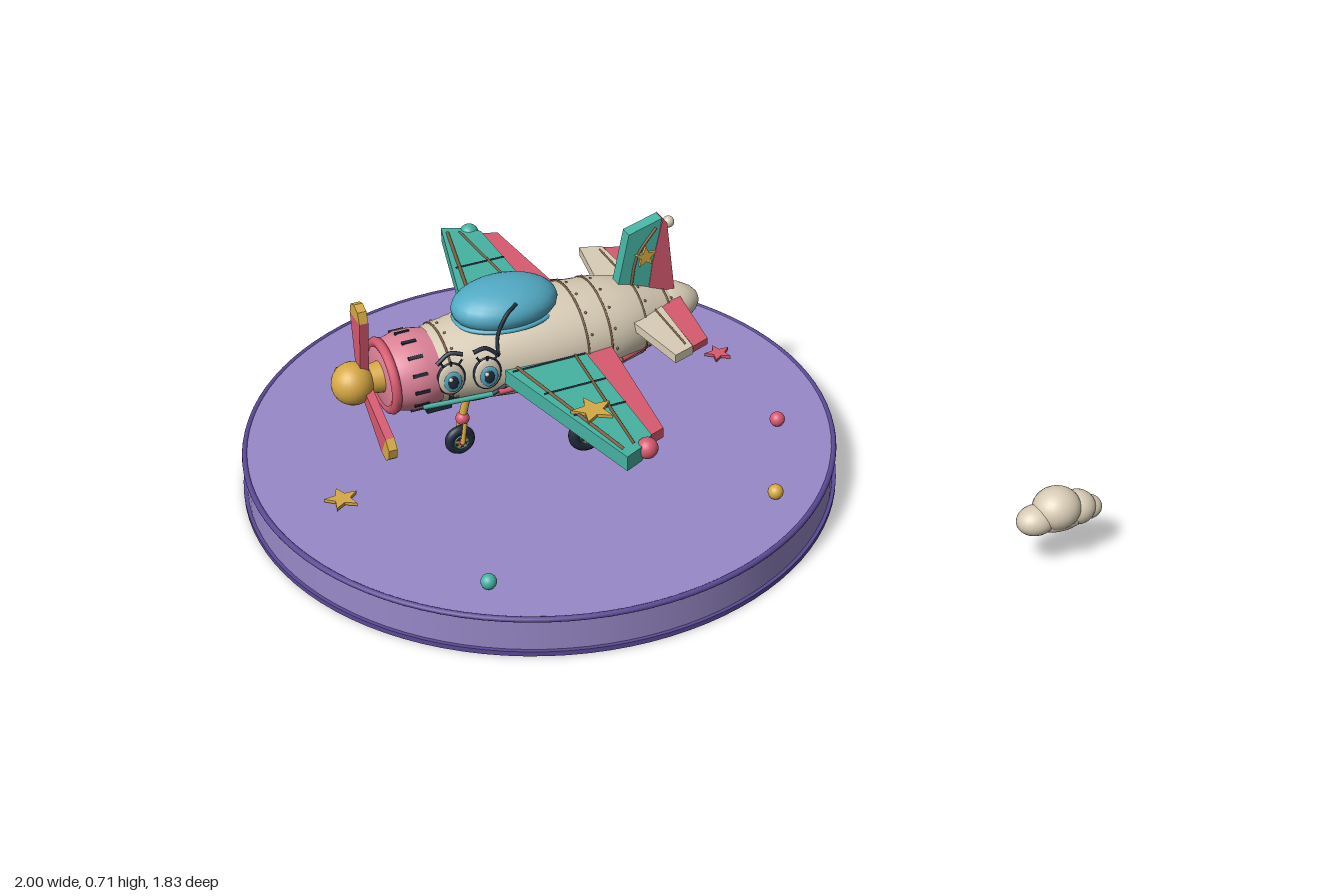
import * as THREE from 'three';

const mat = (name, color) => Object.assign(new THREE.MeshStandardMaterial({ color }), { name });
const M = {
  purple: mat('lavender', 0x9889c8), violet: mat('deep violet', 0x5b4a96),
  cream: mat('cream', 0xd9cdb6), pink: mat('raspberry', 0xd85a70),
  rose: mat('rose', 0xdf8499), teal: mat('teal', 0x46b3a3),
  blue: mat('sky blue', 0x52aac4), gold: mat('gold', 0xd6a944),
  dark: mat('navy', 0x222b3c), brown: mat('brown', 0x7b5f41),
};

function add(parent, name, geo, material, x = 0, y = 0, z = 0) {
  const m = new THREE.Mesh(geo, material);
  m.name = name;
  m.position.set(x, y, z);
  parent.add(m);
  return m;
}
const ball = (r, sx = 1, sy = 1, sz = 1) => new THREE.SphereGeometry(r, 24, 16).scale(sx, sy, sz);
const V = (p) => new THREE.Vector3(...p);
const tube = (pts, r) => new THREE.TubeGeometry(new THREE.CatmullRomCurve3(pts.map(V)), 16, r, 8);
const shapeOf = (pts) => new THREE.Shape(pts.map((p) => new THREE.Vector2(...p)));
const extrude = (pts, depth) => new THREE.ExtrudeGeometry(shapeOf(pts), { depth, bevelEnabled: false });
// plate lying flat, outlined by [x, z] points, rising from y0 to y1
const flat = (pts, y0, y1) =>
  extrude(pts.map(([x, z]) => [x, -z]), y1 - y0).rotateX(-Math.PI / 2).translate(0, y0, 0);
// straight rod between two points
function rod(a, b, r) {
  return new THREE.TubeGeometry(new THREE.LineCurve3(V(a), V(b)), 1, r, 10);
}
function starPoints(r) {
  return Array.from({ length: 10 }, (_, i) => {
    const a = (i * Math.PI) / 5, q = i % 2 ? r * 0.45 : r;
    return [Math.sin(a) * q, Math.cos(a) * q];
  });
}
const flatStar = (r) => extrude(starPoints(r), 0.009).rotateX(-Math.PI / 2);

// fuselage: half height at stations along x; sections are wider than tall
const BODY = [[-0.5, 0.1], [-0.4, 0.115], [-0.3, 0.125], [-0.2, 0.131], [-0.1, 0.132],
  [0, 0.125], [0.07, 0.11], [0.13, 0.088], [0.19, 0.064]];
const WIDE = 1.12;
function halfHeight(x) {
  let i = 1;
  while (i < BODY.length - 1 && BODY[i][0] < x) i++;
  const [a, ra] = BODY[i - 1], [b, rb] = BODY[i];
  return ra + ((rb - ra) * (x - a)) / (b - a);
}
const surfaceZ = (x, y) => {
  const h = halfHeight(x);
  return WIDE * Math.sqrt(Math.max(0, h * h - y * y));
};
const lathe = (pts) => new THREE.LatheGeometry(pts.map(([x, r]) => new THREE.Vector2(r, x)), 40)
  .rotateZ(-Math.PI / 2).scale(1, 1, WIDE);
const ring = (x, r, t) => new THREE.TorusGeometry(r, t, 8, 40).rotateY(Math.PI / 2).scale(1, 1, WIDE).translate(x, 0, 0);

function buildFuselage(p) {
  add(p, 'fuselage', lathe(BODY), M.cream);
  add(p, 'tailCone', lathe([[0.18, 0.058], [0.2, 0.06], [0.24, 0.052], [0.27, 0.035], [0.285, 0.019], [0.292, 0]]), M.cream, 0, 0.006);
  add(p, 'cowling', lathe([[-0.635, 0], [-0.635, 0.085], [-0.61, 0.094], [-0.57, 0.104], [-0.53, 0.104], [-0.49, 0.096]]), M.rose);
  add(p, 'cowlingLip', ring(-0.625, 0.088, 0.014), M.pink);
  for (const x of [-0.475, -0.1, -0.03, 0.085, 0.175]) {
    add(p, 'panelSeam', ring(x, halfHeight(x), 0.003), M.brown);
    for (let i = 0; i < 14; i++) {
      const a = ((i + 0.5) * Math.PI) / 7, h = halfHeight(x + 0.014);
      add(p, 'rivet', new THREE.SphereGeometry(0.004, 6, 4), M.brown, x + 0.014, h * Math.cos(a), WIDE * h * Math.sin(a));
    }
  }
  // cooling slots around the cowling
  for (let i = 0; i < 14; i++) {
    const a = (i * Math.PI) / 7;
    const slot = add(p, 'coolingSlot', new THREE.BoxGeometry(0.04, 0.009, 0.006), M.dark,
      -0.56, 0.104 * Math.sin(a), 0.116 * Math.cos(a));
    slot.rotation.x = -a;
  }
  add(p, 'canopy', ball(1, 0.147, 0.064, 0.105), M.blue, -0.28, 0.137);
  add(p, 'canopyRim', new THREE.TorusGeometry(0.1, 0.006, 8, 40).rotateX(Math.PI / 2).scale(1.38, 1, 1), M.blue, -0.28, 0.108);
  add(p, 'canopyBrow', tube([[-0.28, 0.176, 0.083], [-0.315, 0.16, 0.1], [-0.345, 0.11, 0.11], [-0.352, 0.07, 0.125]], 0.005), M.dark);
  for (const s of [1, -1]) {
    add(p, 'sideStripe', rod([-0.36, -0.045, s * 0.138], [0, -0.045, s * 0.132], 0.008), M.pink);
    add(p, 'rearStripe', rod([0, -0.045, s * 0.132], [0.16, -0.045, s * 0.07], 0.008), M.pink);
  }
  add(p, 'frontStripe', rod([-0.56, -0.055, 0.106], [-0.37, -0.055, 0.124], 0.007), M.teal);
}

function buildFace(p) {
  for (const [x, tilt] of [[-0.48, 0.1], [-0.385, -0.1]]) {
    const y = 0.018, eye = new THREE.Group();
    eye.name = 'eye';
    eye.position.set(x, y, surfaceZ(x, y));
    eye.rotation.y = -0.15;
    p.add(eye);
    add(eye, 'eyeOutline', ball(1, 0.039, 0.05, 0.008), M.dark);
    add(eye, 'eyeWhite', ball(1, 0.036, 0.047, 0.012), M.cream);
    add(eye, 'iris', ball(1, 0.024, 0.031, 0.006), M.blue, 0.003, -0.005, 0.01);
    add(eye, 'pupil', ball(1, 0.014, 0.02, 0.005), M.dark, 0.003, -0.005, 0.014);
    add(eye, 'eyeGlint', ball(0.006), M.cream, -0.004, 0.006, 0.016);
    add(eye, 'eyebrow', tube([[-0.035, 0.055 - tilt * 0.1, -0.006], [0, 0.069, -0.012], [0.035, 0.055 + tilt * 0.1, -0.006]], 0.006), M.dark);
    for (const k of [-1, 0, 1]) add(eye, 'eyelash', rod([k * 0.02, 0.042, 0.004], [k * 0.03, 0.06, 0.008], 0.003), M.dark);
  }
  const smile = [[-0.49, -0.04], [-0.46, -0.062], [-0.42, -0.07], [-0.37, -0.058], [-0.335, -0.03]];
  add(p, 'smile', tube(smile.map(([x, y]) => [x, y, surfaceZ(x, y) + 0.004]), 0.006), M.dark);
  add(p, 'chinVent', new THREE.BoxGeometry(0.07, 0.02, 0.03), M.dark, -0.49, -0.113, 0.03);
}

function buildPropeller(p) {
  add(p, 'spinner', ball(0.058), M.gold, -0.71);
  add(p, 'propellerShaft', new THREE.CylinderGeometry(0.035, 0.045, 0.07, 24).rotateZ(Math.PI / 2), M.gold, -0.655);
  for (let i = 0; i < 3; i++) {
    const blade = new THREE.Group();
    blade.name = 'propellerBlade';
    blade.position.x = -0.682;
    blade.rotation.x = (i * Math.PI * 2) / 3;
    p.add(blade);
    const part = (name, pts, m) => add(blade, name, extrude(pts, 0.024).translate(0, 0, -0.012).rotateY(Math.PI / 2), m);
    part('bladeBody', [[-0.016, 0.03], [0.016, 0.03], [0.036, 0.195], [-0.036, 0.195]], M.pink);
    part('bladeTip', [[-0.036, 0.195], [0.036, 0.195], [0.026, 0.225], [0, 0.235], [-0.026, 0.225]], M.gold);
  }
}

function buildWings(p) {
  for (const s of [1, -1]) {
    const side = (pts) => pts.map(([x, z]) => [x, z * s]);
    add(p, 'wing', flat(side([[-0.345, 0.1], [-0.215, 0.623], [-0.165, 0.6], [-0.118, 0.56], [-0.11, 0.1]]), -0.027, 0.016), M.teal);
    add(p, 'wingFlap', flat(side([[-0.115, 0.1], [-0.125, 0.558], [-0.075, 0.54], [-0.028, 0.1]]), -0.018, 0.011), M.pink);
    add(p, 'wingEdgeSeam', rod([-0.305, 0.016, s * 0.13], [-0.208, 0.016, s * 0.59], 0.005), M.brown);
    add(p, 'wingRearSeam', rod([-0.14, 0.016, s * 0.13], [-0.175, 0.016, s * 0.58], 0.004), M.brown);
    for (const z of [0.15, 0.28, 0.4]) {
      const lead = -0.345 + ((z - 0.1) / 0.523) * 0.13;
      add(p, 'wingRib', rod([lead + 0.01, 0.016, s * z], [-0.115, 0.016, s * z], 0.003), M.dark);
    }
    add(p, 'wingTipLight', ball(0.028), s > 0 ? M.pink : M.teal, -0.143, 0, s * 0.588);
    add(p, 'tailplane', flat(side([[0.035, 0.06], [0.075, 0.305], [0.135, 0.285], [0.15, 0.04]]), 0.025, 0.05), M.cream);
    add(p, 'elevator', flat(side([[0.15, 0.04], [0.138, 0.282], [0.19, 0.262], [0.218, 0.04]]), 0.028, 0.047), M.pink);
    add(p, 'tailplaneSeam', rod([0.125, 0.05, s * 0.06], [0.122, 0.05, s * 0.27], 0.003), M.brown);
  }
  add(p, 'wingStar', flatStar(0.058), M.gold, -0.21, 0.017, 0.408);
}

function buildFin(p) {
  add(p, 'fin', extrude([[0.035, 0.07], [0.075, 0.26], [0.172, 0.288], [0.13, 0.05]], 0.036).translate(0, 0, -0.018), M.teal);
  add(p, 'rudder', extrude([[0.13, 0.05], [0.145, 0.16], [0.175, 0.288], [0.187, 0.27], [0.212, 0.05]], 0.04).translate(0, 0, -0.02), M.pink);
  for (const s of [1, -1]) {
    add(p, 'finSeam', tube([[0.08, 0.09, s * 0.019], [0.1, 0.19, s * 0.019], [0.155, 0.265, s * 0.019]], 0.004), M.brown);
    add(p, 'finStar', extrude(starPoints(0.032), 0.008).translate(0, 0, -0.004), M.gold, 0.122, 0.185, s * 0.023);
  }
  add(p, 'finLight', ball(0.016), M.cream, 0.2, 0.262);
}

function buildWheel(p, x, y, z, r) {
  const w = new THREE.Group();
  w.name = 'wheel';
  w.position.set(x, y, z);
  p.add(w);
  const disc = (q, h) => new THREE.CylinderGeometry(q, q, h, 24).rotateX(Math.PI / 2);
  add(w, 'tyre', new THREE.TorusGeometry(r * 0.68, r * 0.32, 12, 32), M.dark);
  add(w, 'wheelDisc', disc(r * 0.55, 0.026), M.dark);
  add(w, 'hubRing', new THREE.TorusGeometry(r * 0.45, 0.003, 6, 24).scale(1, 1, 6), M.blue);
  add(w, 'hub', disc(r * 0.16, 0.044), M.pink);
  for (let i = 0; i < 5; i++) {
    const a = (i * Math.PI * 2) / 5 + Math.PI / 2;
    add(w, 'spoke', new THREE.BoxGeometry(r * 0.4, 0.007, 0.032).translate(r * 0.25, 0, 0).rotateZ(a), M.gold);
  }
}

function buildGear(p) {
  for (const s of [1, -1]) {
    add(p, 'gearFairing', ball(1, 0.034, 0.042, 0.03), M.pink, -0.135, -0.095, s * 0.112);
    add(p, 'gearStrut', rod([-0.135, -0.1, s * 0.11], [-0.11, -0.25, s * 0.115], 0.011), M.gold);
    add(p, 'gearKnee', ball(0.018), M.pink, -0.116, -0.2, s * 0.114);
    add(p, 'axle', rod([-0.105, -0.25, s * 0.105], [-0.105, -0.25, s * 0.165], 0.007), M.dark);
    buildWheel(p, -0.105, -0.25, s * 0.136, 0.054);
  }
  add(p, 'noseStrut', rod([-0.385, -0.09, 0], [-0.412, -0.2, 0], 0.011), M.gold);
  add(p, 'noseKnee', ball(0.019), M.pink, -0.41, -0.197, 0);
  for (const s of [1, -1]) add(p, 'noseFork', rod([-0.41, -0.2, s * 0.02], [-0.42, -0.265, s * 0.022], 0.006), M.gold);
  buildWheel(p, -0.42, -0.265, 0, 0.043);
}

export function createModel() {
  const root = new THREE.Group();
  root.name = 'toyPlaneDisplay';
  // round stand
  const cx = -0.185, cz = -0.103;
  add(root, 'standBody', new THREE.CylinderGeometry(0.805, 0.805, 0.112, 96), M.purple, cx, 0.058, cz);
  const rim = (r, h) => new THREE.CylinderGeometry(r, r, h, 96);
  add(root, 'standFoot', rim(0.815, 0.014), M.violet, cx, 0.007, cz);
  add(root, 'standRim', new THREE.TorusGeometry(0.804, 0.008, 10, 96).rotateX(Math.PI / 2), M.violet, cx, 0.109, cz);
  // loose decorations on the stand
  for (const [m, x, z] of [[M.teal, -0.575, 0.468], [M.pink, 0.422, 0.14], [M.gold, 0.258, 0.437]])
    add(root, 'bead', ball(0.021), m, x, 0.133, z);
  add(root, 'goldFloorStar', flatStar(0.048), M.gold, -0.787, 0.122, -0.025);
  add(root, 'pinkFloorStar', flatStar(0.04), M.pink, 0.43, 0.122, -0.232);
  // cloud beside the stand
  for (const [x, y, rx, ry, rz] of [[0.86, 0.168, 0.066, 0.058, 0.06], [0.8, 0.148, 0.055, 0.04, 0.044],
    [0.925, 0.152, 0.05, 0.046, 0.048], [0.958, 0.142, 0.04, 0.032, 0.036], [0.87, 0.135, 0.08, 0.032, 0.045]])
    add(root, 'cloudPuff', ball(1, rx, ry, rz), M.cream, x, y, 0.85);
  // aeroplane, nose toward -x
  const plane = new THREE.Group();
  plane.name = 'aeroplane';
  plane.position.set(0, 0.425, cz);
  root.add(plane);
  for (const build of [buildFuselage, buildFace, buildPropeller, buildWings, buildFin, buildGear]) build(plane);
  return root;
}
